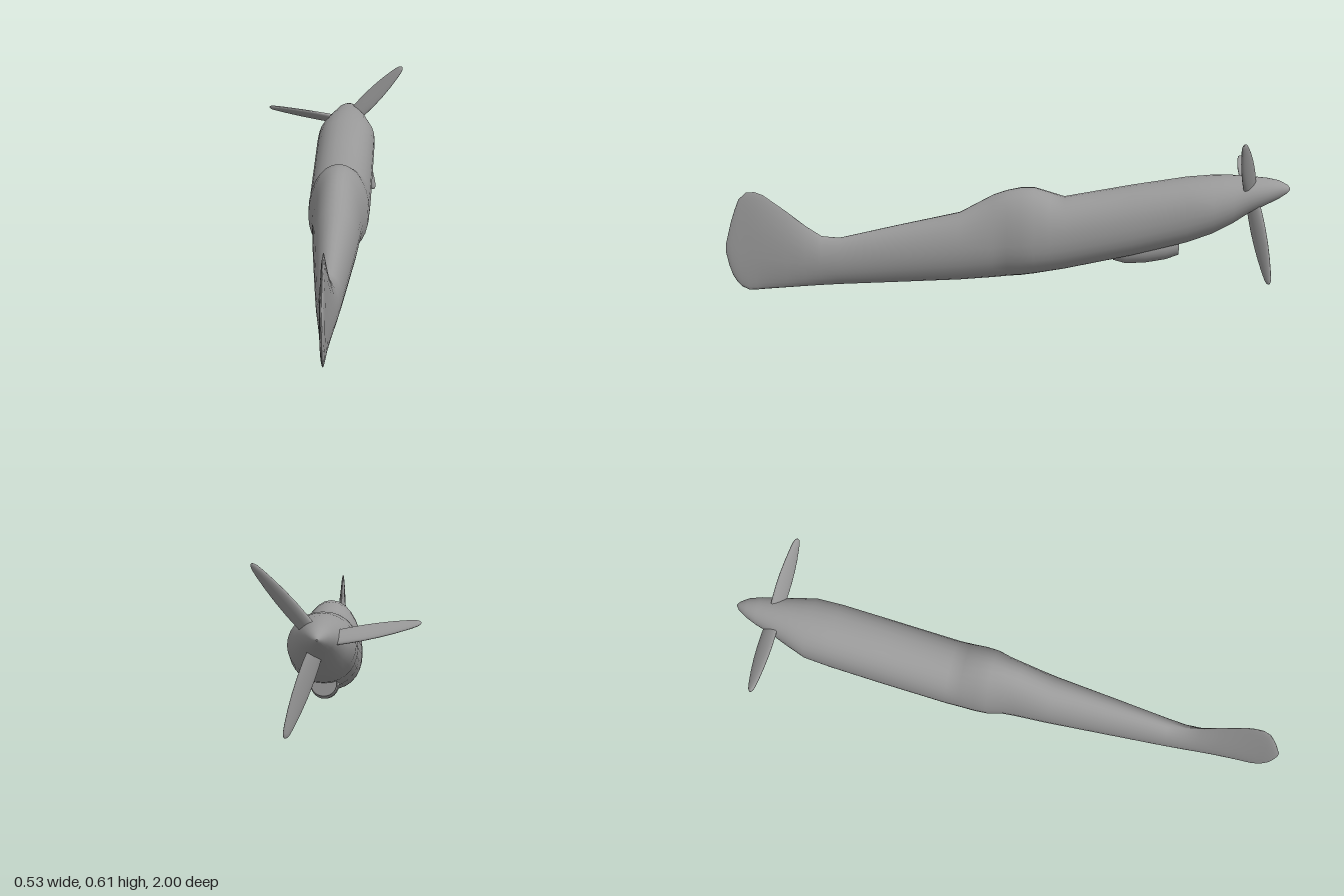
import * as THREE from 'three';

const material = new THREE.MeshStandardMaterial({ color: 0x999999 });
const SIDES = 28;
const bend = (v, p) => Math.sign(v) * Math.pow(Math.abs(v), p);

// Skin over cross-sections [z, halfWidth, bottomY, waistY, topY, upperPower, lowerPower]
function loft(sections) {
  const pos = [], index = [];
  const ring = ([z, w, bottom, waist, top, up = 1, low = 1]) => {
    for (let j = 0; j < SIDES; j++) {
      const t = (j / SIDES) * Math.PI * 2, s = Math.sin(t);
      const x = w * bend(Math.cos(t), s > 0 ? up : low);
      const y = s > 0 ? waist + (top - waist) * bend(s, Math.min(up, 1))
        : waist + (waist - bottom) * bend(s, Math.min(low, 1));
      pos.push(x, y, z);
    }
  };
  sections.forEach(ring);
  for (let i = 0; i < sections.length - 1; i++) {
    for (let j = 0; j < SIDES; j++) {
      const a = i * SIDES + j, b = i * SIDES + ((j + 1) % SIDES);
      index.push(a, b, b + SIDES, a, b + SIDES, a + SIDES);
    }
  }
  // End caps with their own vertices, so their rims stay sharp
  [sections[0], sections[sections.length - 1]].forEach((section, end) => {
    const start = pos.length / 3;
    ring(section);
    pos.push(0, section[3], section[0]);
    for (let j = 0; j < SIDES; j++) {
      const a = start + j, b = start + ((j + 1) % SIDES), c = start + SIDES;
      if (end) index.push(a, b, c);
      else index.push(b, a, c);
    }
  });
  const geometry = new THREE.BufferGeometry();
  geometry.setAttribute('position', new THREE.Float32BufferAttribute(pos, 3));
  geometry.setIndex(index);
  geometry.computeVertexNormals();
  return geometry;
}

function part(name, geometry) {
  const mesh = new THREE.Mesh(geometry, material);
  mesh.name = name;
  return mesh;
}

export function createModel() {
  const model = new THREE.Group();
  model.name = 'aircraft';
  const body = new THREE.Group();
  body.name = 'body';
  body.position.x = 0.05;
  model.add(body);

  // Fuselage from spinner through canopy hump to fin
  const nose = [
    [-1, 0.003, 0.397, 0.4, 0.403],
    [-0.99, 0.016, 0.385, 0.4, 0.415],
    [-0.96, 0.035, 0.365, 0.4, 0.43],
    [-0.92, 0.051, 0.345, 0.392, 0.438],
    [-0.86, 0.067, 0.315, 0.38, 0.443],
    [-0.8, 0.088, 0.275, 0.36, 0.446],
    [-0.73, 0.11, 0.238, 0.34, 0.445],
  ];
  const middle = [
    [-0.64, 0.112, 0.205, 0.32, 0.436, 0.92, 0.92],
    [-0.45, 0.112, 0.155, 0.275, 0.405, 0.92, 0.92],
    [-0.21, 0.112, 0.102, 0.225, 0.36, 0.95, 0.92],
    [-0.16, 0.111, 0.093, 0.22, 0.377, 1, 0.92],
    [-0.105, 0.111, 0.083, 0.215, 0.394, 1, 0.92],
    [-0.06, 0.108, 0.076, 0.21, 0.394, 1, 0.94],
    [-0.01, 0.094, 0.07, 0.205, 0.384],
    [0.04, 0.088, 0.064, 0.195, 0.367],
    [0.16, 0.08, 0.053, 0.175, 0.3],
    [0.38, 0.062, 0.04, 0.145, 0.25],
    [0.59, 0.044, 0.028, 0.115, 0.2],
  ];
  const fin = [
    [0.655, 0.038, 0.023, 0.113, 0.206, 1.5],
    [0.71, 0.032, 0.018, 0.112, 0.242, 2],
    [0.78, 0.024, 0.012, 0.115, 0.297, 1.9],
    [0.86, 0.016, 0.005, 0.125, 0.355, 1.5],
    [0.89, 0.014, 0.002, 0.13, 0.366, 1.3],
    [0.92, 0.011, 0, 0.14, 0.364],
    [0.948, 0.01, 0.014, 0.145, 0.338],
    [0.963, 0.009, 0.031, 0.148, 0.3],
    [0.978, 0.008, 0.056, 0.15, 0.255],
    [0.99, 0.006, 0.092, 0.152, 0.208],
    [1, 0.002, 0.14, 0.155, 0.17],
  ];
  body.add(part('fuselage', loft([...nose, ...middle, ...fin])));

  // Rounded air intake under the engine
  body.add(part('airIntake', loft([
    [-0.615, 0.042, 0.155, 0.195, 0.24],
    [-0.57, 0.045, 0.138, 0.185, 0.23],
    [-0.5, 0.046, 0.125, 0.175, 0.22],
    [-0.43, 0.044, 0.121, 0.165, 0.21],
    [-0.385, 0.036, 0.133, 0.165, 0.2],
  ])));

  // Propeller: three pitched blades on a tilted axis
  const propeller = new THREE.Group();
  propeller.name = 'propeller';
  propeller.position.set(0, 0.377, -0.865);
  propeller.rotation.x = 0.21;
  body.add(propeller);
  const bladeGeometry = loft([
    [0.03, 0.03, 0.012], [0.08, 0.034, 0.012], [0.13, 0.035, 0.011], [0.18, 0.033, 0.01],
    [0.23, 0.028, 0.009], [0.28, 0.02, 0.008], [0.305, 0.014, 0.007],
    [0.315, 0.009, 0.005], [0.32, 0.003, 0.002],
  ].map(([r, chord, thick]) => [r, chord, -thick, 0, thick]));
  const pitch = Math.PI / 4;
  [48, 169.5, 289].forEach((degrees) => {
    const a = THREE.MathUtils.degToRad(degrees);
    const out = new THREE.Vector3(Math.cos(a), Math.sin(a), 0);
    const chord = new THREE.Vector3(Math.sin(a), -Math.cos(a), 0)
      .multiplyScalar(Math.cos(pitch)).setZ(Math.sin(pitch));
    const blade = part('propellerBlade', bladeGeometry);
    const basis = new THREE.Matrix4().makeBasis(chord, out.clone().cross(chord), out);
    blade.quaternion.setFromRotationMatrix(basis);
    propeller.add(blade);
  });

  return model;
}
